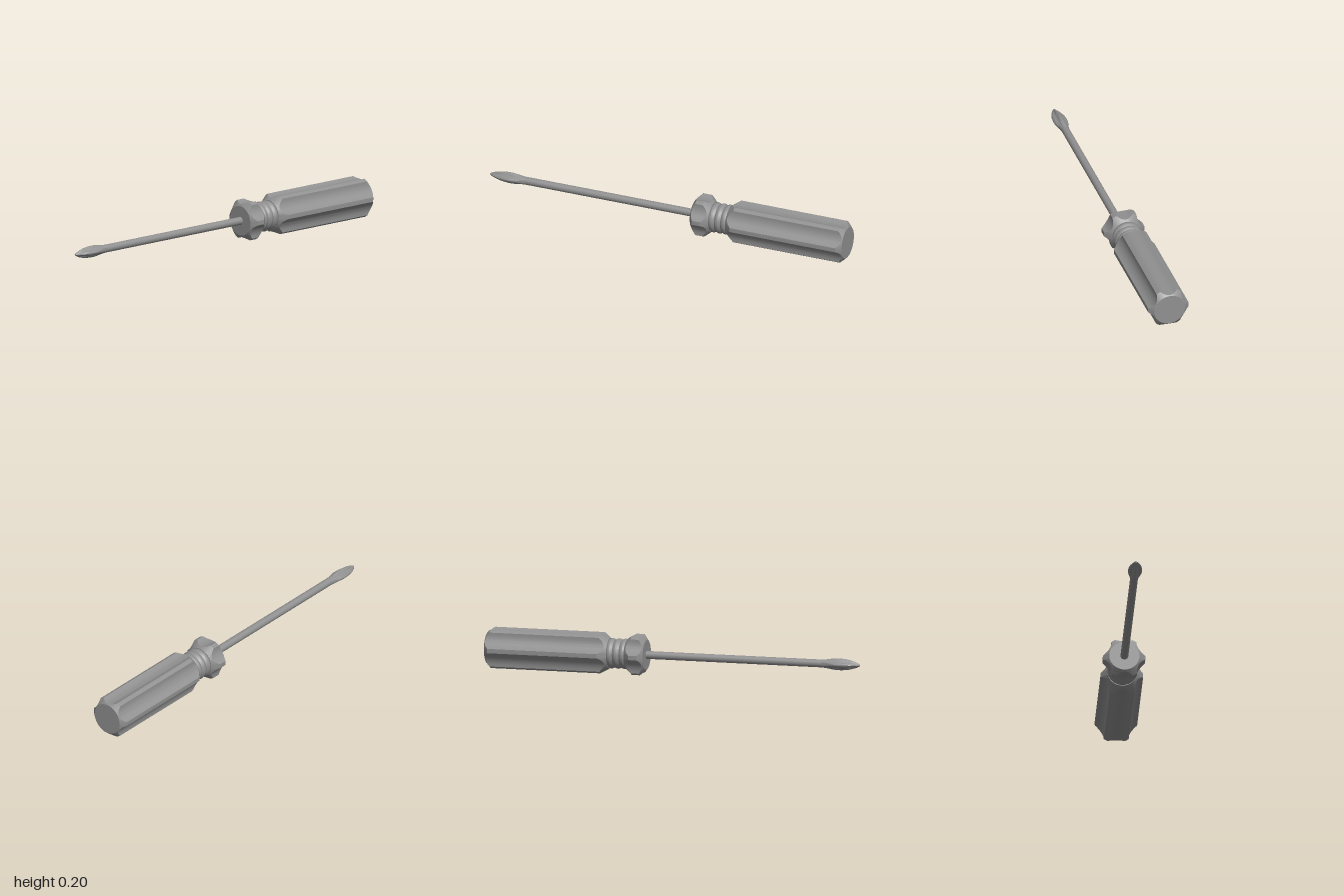
import * as THREE from 'three';
import { toCreasedNormals } from 'three/addons/utils/BufferGeometryUtils.js';

const AXIS_Y = 0.104; // height of the tool's long axis
const OUTER = 0.11;   // radius of the handle's lobes

// Skin around z: column(angle) returns [radius, z] points ordered from back to front
function loft(angles, column, crease) {
  const pos = [], idx = [];
  const cols = angles.map(column);
  const n = cols[0].length, m = angles.length;
  cols.forEach((col, i) => col.forEach(([r, z]) =>
    pos.push(r * Math.cos(angles[i]), r * Math.sin(angles[i]), z)));
  for (let i = 0; i < m; i++) {
    const j = (i + 1) % m;
    for (let k = 0; k < n - 1; k++) {
      const a = i * n + k, b = j * n + k, c = b + 1, d = a + 1;
      if (cols[i][k][0] > 0) idx.push(a, b, c);
      if (cols[i][k + 1][0] > 0) idx.push(a, c, d);
    }
  }
  const g = new THREE.BufferGeometry();
  g.setAttribute('position', new THREE.Float32BufferAttribute(pos, 3));
  g.setIndex(idx);
  return toCreasedNormals(g, crease);
}

// Angles and radii of the six-lobed section with scalloped flutes between the lobes
const deg = THREE.MathUtils.degToRad;
const FLUTE_HALF = 24, FLUTE_D = 0.169, FLUTE_R = 0.0818;
const sectionAngles = [];
const sectionRadius = new Map();
for (let s = 0; s < 6; s++) {
  const mid = 31 + s * 60;
  for (let k = 0; k <= 10; k++) {
    const off = deg(-FLUTE_HALF + (k / 10) * 2 * FLUTE_HALF);
    const side = FLUTE_D * Math.sin(off);
    const r = FLUTE_D * Math.cos(off) - Math.sqrt(FLUTE_R ** 2 - side ** 2);
    const a = deg(mid) + off;
    sectionAngles.push(a);
    sectionRadius.set(a, Math.min(r, OUTER));
  }
  const crest = deg(mid + 30);
  sectionAngles.push(crest);
  sectionRadius.set(crest, OUTER);
}

// Fluted bar whose two ends are cut by cones: [end radius, end z, z where the cone reaches OUTER]
function flutedBar(back, front) {
  const cut = ([r0, z0, z1], r) => z0 + (z1 - z0) * (r - r0) / (OUTER - r0);
  return loft(sectionAngles, (a) => {
    const r = sectionRadius.get(a);
    return [[0, back[1]], [back[0], back[1]], [r, cut(back, r)],
      [r, cut(front, r)], [front[0], front[1]], [0, front[1]]];
  }, deg(25));
}

export function createModel() {
  const group = new THREE.Group();
  const grey = new THREE.MeshStandardMaterial({ color: 0x909090 });
  grey.name = 'grey';
  const add = (name, geometry) => {
    const mesh = new THREE.Mesh(geometry, grey);
    mesh.name = name;
    mesh.position.y = AXIS_Y;
    group.add(mesh);
  };

  // Fluted grip and front collar
  add('grip', flutedBar([0.083, -1, -0.975], [0.078, -0.345, -0.385]));
  add('collar', flutedBar([0.078, -0.25, -0.215], [0.078, -0.148, -0.172]));

  // Neck with three rounded rings
  const neck = [];
  const RINGS = 3, STEPS = 8, Z0 = -0.35, Z1 = -0.245;
  for (let i = 0; i < RINGS; i++) {
    for (let k = i ? 1 : 0; k <= STEPS; k++) {
      const t = k / STEPS;
      neck.push(new THREE.Vector2(0.071 + 0.008 * Math.sin(Math.PI * t),
        Z0 + (Z1 - Z0) * (i + t) / RINGS));
    }
  }
  add('neckRings', toCreasedNormals(new THREE.LatheGeometry(neck, 36).rotateX(Math.PI / 2), deg(40)));

  // Round shaft
  add('shaft', new THREE.CylinderGeometry(0.0205, 0.0205, 0.96, 24, 1, true)
    .rotateX(Math.PI / 2).translate(0, 0, 0.32));

  // Cross-shaped tip: [z, arm radius, valley radius]
  const stations = [
    [0.8, 0.0205, 0.0205], [0.825, 0.025, 0.021], [0.85, 0.032, 0.021], [0.875, 0.0365, 0.0205],
    [0.9, 0.037, 0.0195], [0.925, 0.0345, 0.018], [0.95, 0.029, 0.0155],
    [0.975, 0.02, 0.0115], [0.99, 0.012, 0.008], [1, 0.005, 0.004],
  ];
  const tipAngles = Array.from({ length: 48 }, (_, i) => (i / 48) * Math.PI * 2);
  add('tip', loft(tipAngles, (a) => {
    const c = Math.cos(2 * a);
    const reach = c * c * (c > 0 ? 1 : 0.65); // upright arms are shorter
    return [...stations.map(([z, arm, valley]) => [valley + (arm - valley) * reach, z]), [0, 1]];
  }, deg(50)));

  return group;
}
